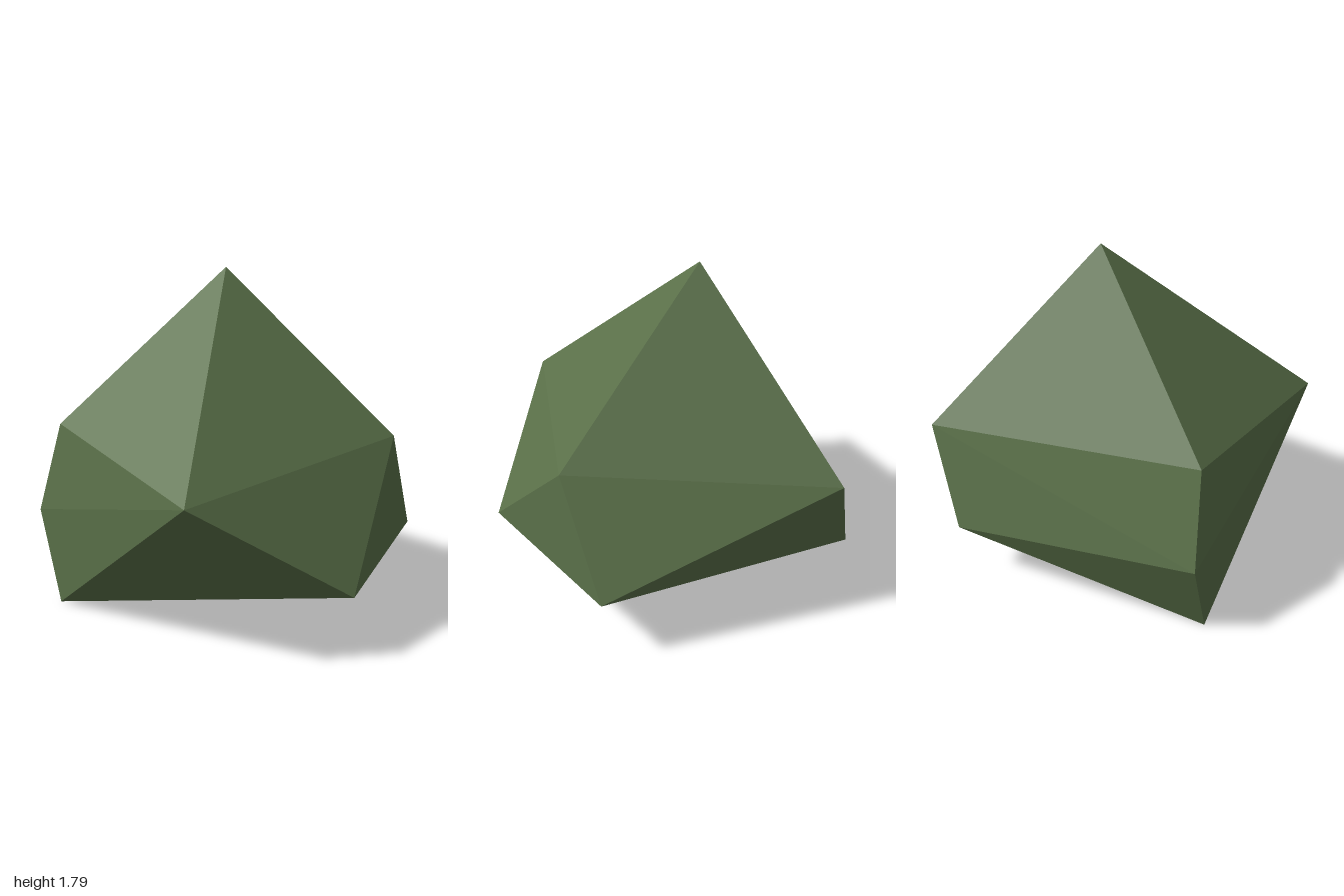
import * as THREE from 'three';
import { ConvexGeometry } from 'three/addons/geometries/ConvexGeometry.js';

export function createModel() {
  const mossGreen = new THREE.MeshStandardMaterial({ color: 0x5a7049 });
  mossGreen.name = 'mossGreen';

  // Corners of the faceted boulder
  const corners = [
    [0.01, 1.79, -0.11],   // peak
    [-0.88, 0.99, -0.135], // right shoulder
    [-0.43, 0.845, 0.955], // front shoulder
    [0.785, 0.955, 0.375], // left shoulder
    [0.36, 0.84, -0.94],   // back shoulder
    [0.39, 0.33, 0.925],   // lower front
    [1.0, 0.375, 0.11],    // lower left
    [0.11, 0.33, -0.955],  // lower back
    [-1.0, 0.49, -0.24],   // lower right
    [-0.92, 0, -0.095],    // foot
  ].map((c) => new THREE.Vector3(...c));

  // Flat-faced hull through the corners
  const boulder = new THREE.Mesh(new ConvexGeometry(corners), mossGreen);
  boulder.name = 'boulder';

  const model = new THREE.Group();
  model.name = 'rock';
  model.add(boulder);
  return model;
}
